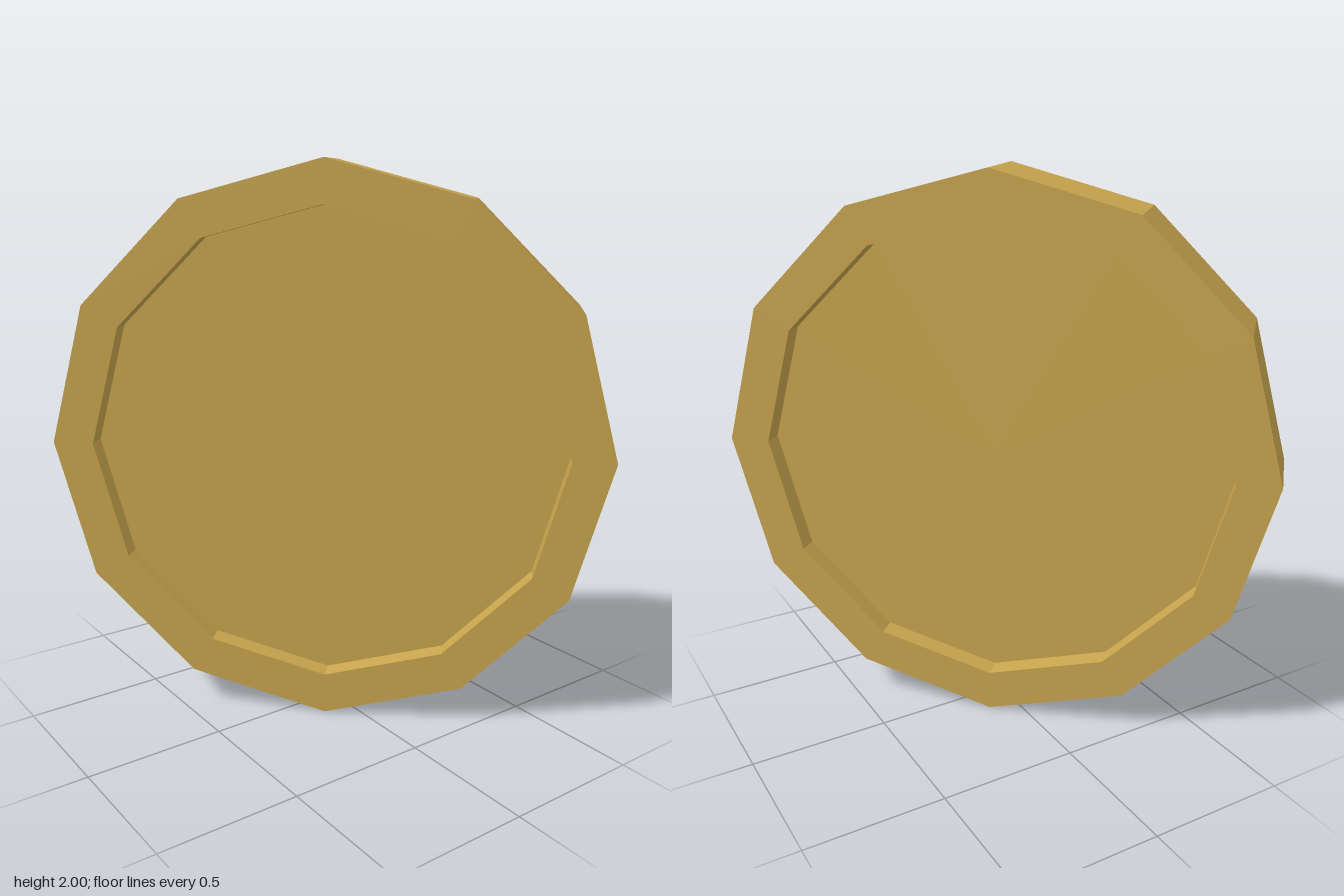
import * as THREE from 'three';

const SIDES = 12, RADIUS = 1, INNER = 0.85, HALF = 0.15, FLOOR = 0.075;

export function createModel() {
  const gold = new THREE.MeshStandardMaterial({ color: 0xc8a54e, flatShading: true });
  gold.name = 'gold';

  const model = new THREE.Group();
  model.name = 'coin';

  // Raised rim: outer edge, two flat borders and the short walls down to the recesses
  const profile = [
    [INNER, -FLOOR], [INNER, -HALF], [RADIUS, -HALF],
    [RADIUS, HALF], [INNER, HALF], [INNER, FLOOR],
  ].map(([r, y]) => new THREE.Vector2(r, y));
  const rim = new THREE.Mesh(new THREE.LatheGeometry(profile, SIDES).rotateX(Math.PI / 2), gold);
  rim.name = 'rim';

  // Recessed faces on both sides, with a corner at the top
  const disc = new THREE.CircleGeometry(INNER, SIDES, Math.PI / 2).translate(0, 0, FLOOR);
  const frontFace = new THREE.Mesh(disc, gold);
  frontFace.name = 'frontFace';
  const backFace = new THREE.Mesh(disc.clone().rotateY(Math.PI), gold);
  backFace.name = 'backFace';

  // Stand the coin on its edge, turned halfway to the side
  const body = new THREE.Group();
  body.name = 'coinBody';
  body.add(rim, frontFace, backFace);
  body.rotation.y = Math.PI / 4;
  body.position.y = RADIUS;
  model.add(body);
  return model;
}
